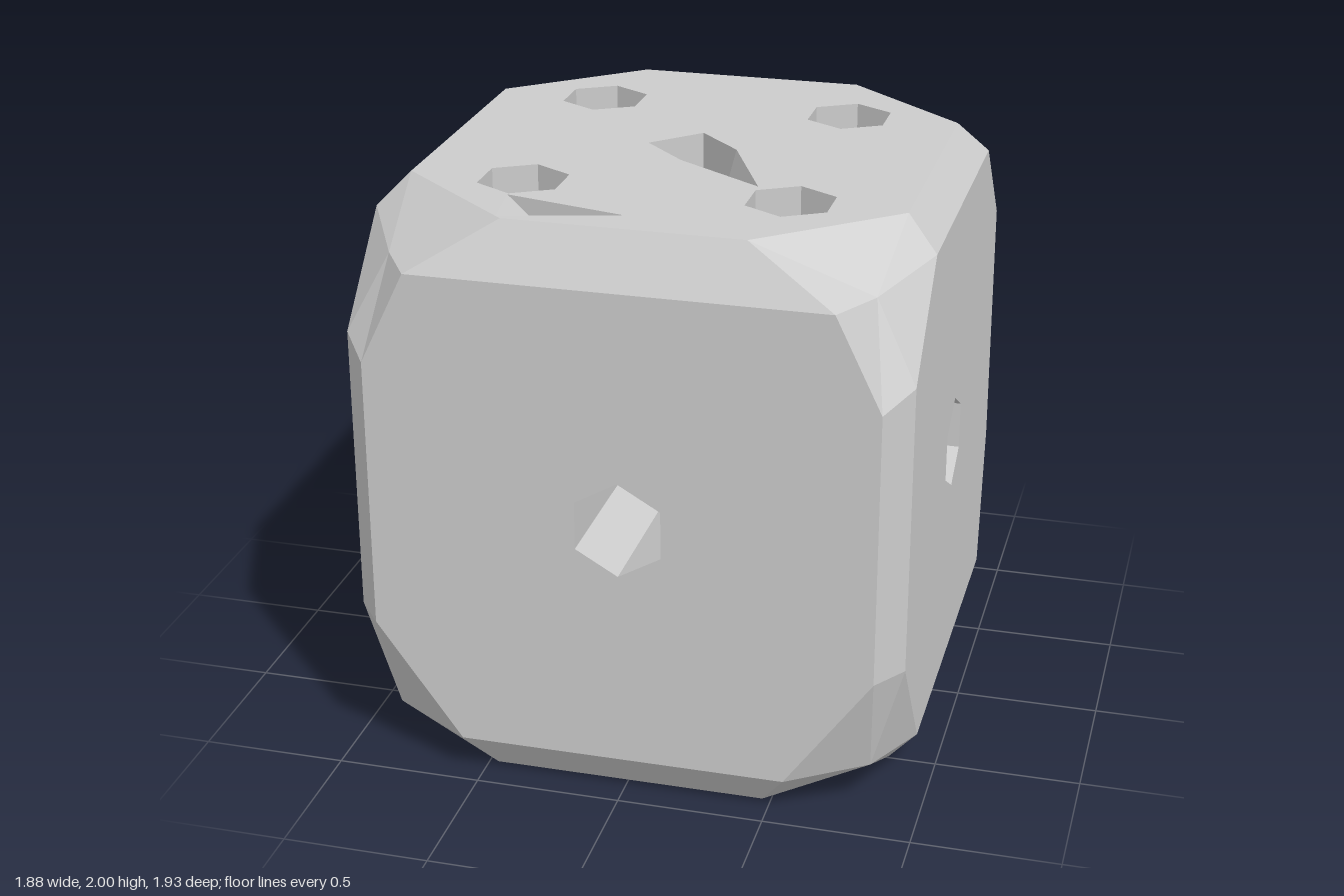
import * as THREE from 'three';

const X = 0, Y = 1, Z = 2;
const signs = [1, -1];

// Place face coordinates (u, v) at depth w along an axis
const place = (axis, u, v, w) =>
  new THREE.Vector3(...(axis === X ? [w, v, u] : axis === Y ? [u, w, v] : [u, v, w]));

// Regular ring of n points in face coordinates
const ring = (n, r, cu = 0, cv = 0, start = 0) => Array.from({ length: n }, (_, k) => {
  const a = start + k * 2 * Math.PI / n;
  return [cu + r * Math.cos(a), cv + r * Math.sin(a)];
});
const hexagon = (r, cu, cv) => ring(6, r, cu, cv, Math.PI / 6);

// Bevel points around one corner, measured from the cube's centre
function cornerPoints(sx, sy, sz) {
  const top = sy > 0, front = sz > 0, longSide = sx > 0 && !top && !front;
  const p = (x, y, z) => new THREE.Vector3(x * sx, y * sy, z * sz);
  const h = top ? 0.89 : 0.86;
  return {
    xy: p(0.94, h, longSide ? 0.8 : 0.55),
    xz: p(0.94, top ? 0.56 : longSide ? 0.35 : 0.44, longSide ? 0.89 : 0.86),
    yx: p(0.835, 1, 0.49),
    yz: p(top ? 0.4 : 0.47, 1, 0.865),
    zy: p(top && front ? 0.7 : 0.56, top && front ? 0.82 : h, 0.963),
    zx: p(0.855, top ? 0.5 : 0.45, 0.963),
    tip: top && front ? p(0.8, 0.83, 0.81) : p(0.83, 0.83, 0.83),
  };
}

export function createModel() {
  const model = new THREE.Group();
  const die = new THREE.Group();
  die.position.y = 1;
  model.add(die);
  const grey = new THREE.MeshStandardMaterial({ color: 0xcccccc, side: THREE.DoubleSide });
  grey.name = 'light grey';

  const addMesh = (name, points) => {
    const geometry = new THREE.BufferGeometry().setFromPoints(points);
    geometry.computeVertexNormals();
    const mesh = new THREE.Mesh(geometry, grey);
    mesh.name = name;
    die.add(mesh);
  };
  // Triangle turned to face away from the centre
  const outward = (list, a, b, c) => {
    const n = b.clone().sub(a).cross(c.clone().sub(a));
    const mid = a.clone().add(b).add(c);
    list.push(...(n.dot(mid) > 0 ? [a, b, c] : [a, c, b]));
  };

  const corners = {};
  const at = (s) => corners[s.join()];
  for (const x of signs) for (const y of signs) for (const z of signs) {
    corners[[x, y, z].join()] = cornerPoints(x, y, z);
  }

  // Faceted corners: fans around a slightly raised tip
  const cornerFacets = [];
  for (const c of Object.values(corners)) {
    const loop = [c.xy, c.yx, c.yz, c.zy, c.zx, c.xz];
    loop.forEach((p, i) => outward(cornerFacets, p, loop[(i + 1) % 6], c.tip));
  }
  addMesh('corners', cornerFacets);

  // Bevel strips along the twelve edges
  const bevels = [];
  for (const [axis, k1, k2] of [[X, 'yz', 'zy'], [Y, 'xz', 'zx'], [Z, 'xy', 'yx']]) {
    for (const s of signs) for (const t of signs) {
      const from = [s, t], to = [s, t];
      from.splice(axis, 0, 1);
      to.splice(axis, 0, -1);
      const a = at(from), b = at(to);
      outward(bevels, a[k1], a[k2], b[k2]);
      outward(bevels, a[k1], b[k2], b[k1]);
    }
  }
  addMesh('bevels', bevels);

  // Flat face with pip openings
  const addFace = (name, axis, sign, holes) => {
    const keys = [['xy', 'xz'], ['yx', 'yz'], ['zx', 'zy']][axis];
    const outline = [];
    let depth = 1;
    for (const [key, c] of Object.entries(corners)) {
      if (+key.split(',')[axis] !== sign) continue;
      for (const k of keys) {
        const p = c[k];
        depth = p.getComponent(axis);
        outline.push(axis === X ? [p.z, p.y] : axis === Y ? [p.x, p.z] : [p.x, p.y]);
      }
    }
    outline.sort((a, b) => Math.atan2(a[1], a[0]) - Math.atan2(b[1], b[0]));
    const toVectors = (list) => list.map(([u, v]) => new THREE.Vector2(u, v));
    const shape = new THREE.Shape(toVectors(outline));
    shape.holes = holes.map((h) => new THREE.Path(toVectors(h)));
    const flat = new THREE.ShapeGeometry(shape).toNonIndexed().attributes.position;
    const list = [];
    for (let i = 0; i < flat.count; i += 3) {
      outward(list, ...[0, 1, 2].map((k) => place(axis, flat.getX(i + k), flat.getY(i + k), depth)));
    }
    addMesh(name, list);
  };

  // Tunnel walls; an optional notch replaces one wall with a sloping wedge
  const addTunnel = (name, axis, loop, w0, w1, notch, capped) => {
    const list = [];
    loop.forEach(([u, v], i) => {
      const [u2, v2] = loop[(i + 1) % loop.length];
      const a = place(axis, u, v, w0), b = place(axis, u2, v2, w0);
      const c = place(axis, u2, v2, w1), d = place(axis, u, v, w1);
      if (notch && notch.index === i) {
        const tip = place(axis, ...notch.tip, w0), low = place(axis, ...notch.low);
        list.push(a, tip, low, tip, b, low, a, low, d, b, c, low, d, low, c);
      } else list.push(a, b, c, a, c, d);
      if (capped && i > 0 && i < loop.length - 1) list.push(place(axis, ...loop[0], w1), d, c);
    });
    addMesh(name, list);
  };
  const notched = (loop, n) => n
    ? [...loop.slice(0, n.index + 1), n.tip, ...loop.slice(n.index + 1)] : loop;

  // Single pips: the side pips run through, the front and back ones are closed
  const pip = hexagon(0.167, 0, 0);
  for (const s of signs) {
    addFace(s > 0 ? 'leftFace' : 'rightFace', X, s, [pip]);
    addTunnel('sidePip', X, pip, s * 0.94, s * 0.1);
    addFace(s > 0 ? 'frontFace' : 'backFace', Z, s, [pip]);
    addTunnel(s > 0 ? 'frontPip' : 'backPip', Z, pip, s * 0.963, s * 0.17, null, true);
  }

  // Five pips running from top to bottom, with a wedge notch at each end
  const pit = [[-0.45, 0.64], [-0.03, 0.74], [-0.42, 0.845]];
  for (const s of signs) {
    const holes = [];
    const diamond = ring(4, 0.155);
    const centreNotch = s > 0 ? { index: 0, tip: [0.315, 0.36], low: [0.1, 0.11, 0.72] } : null;
    holes.push(notched(diamond, centreNotch));
    addTunnel('centrePip', Y, diamond, s, s * 0.12, centreNotch);
    for (const x of signs) for (const z of signs) {
      const hex = hexagon(0.155, x * 0.45, z * 0.475);
      const notch = s < 0 && x < 0 && z > 0
        ? { index: 4, tip: [-0.1, 0.09], low: [-0.37, 0.36, -0.75] } : null;
      holes.push(notched(hex, notch));
      addTunnel('cornerPip', Y, hex, s, 0, notch);
    }
    if (s > 0) holes.push(pit);
    addFace(s > 0 ? 'topFace' : 'bottomFace', Y, s, holes);
  }

  // Chipped pit near the front edge of the top
  const pitWalls = [];
  pit.forEach((p, i) => pitWalls.push(
    place(Y, ...p, 1), place(Y, ...pit[(i + 1) % 3], 1), place(Y, -0.16, 0.71, 0.78)));
  addMesh('topChip', pitWalls);

  return model;
}
